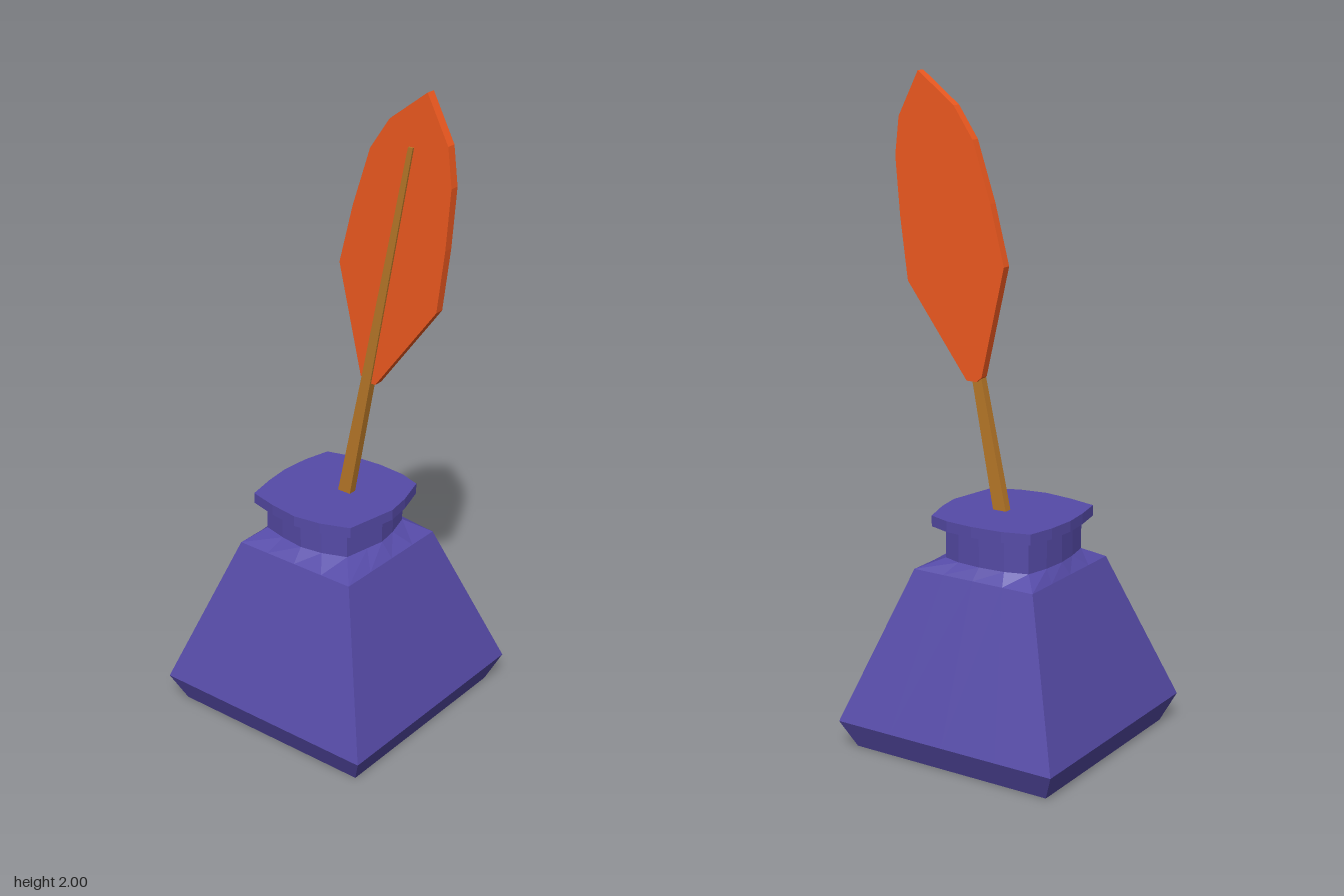
import * as THREE from 'three';

const flat = (color) => new THREE.MeshStandardMaterial({ color, flatShading: true });

// Closed loft through rings of [x, y, z], listed bottom to top, clockwise from above
function loft(rings) {
  const pos = [];
  const n = rings[0].length;
  const tri = (a, b, c) => pos.push(...a, ...b, ...c);
  for (let r = 0; r < rings.length - 1; r++) {
    const lo = rings[r], hi = rings[r + 1];
    for (let i = 0; i < n; i++) {
      const j = (i + 1) % n;
      tri(lo[i], hi[i], lo[j]);
      tri(lo[j], hi[i], hi[j]);
    }
  }
  const bottom = rings[0], top = rings[rings.length - 1];
  for (let i = 1; i < n - 1; i++) {
    tri(bottom[0], bottom[i], bottom[i + 1]);
    tri(top[0], top[i + 1], top[i]);
  }
  const g = new THREE.BufferGeometry();
  g.setAttribute('position', new THREE.Float32BufferAttribute(pos, 3));
  g.computeVertexNormals();
  return g;
}

// Hand-cut bulging square used by the lip and neck (x, z)
const bulge = [
  [-0.175, -0.185], [-0.085, -0.203], [0, -0.212], [0.09, -0.205],
  [0.175, -0.185], [0.2, -0.1], [0.207, 0], [0.2, 0.09],
  [0.177, 0.16], [0.08, 0.19], [0, 0.203], [-0.07, 0.19],
  [-0.163, 0.173], [-0.197, 0.085], [-0.21, 0], [-0.197, -0.095],
];
const bulgeRing = (y, s, dx = 0, dz = 0) => bulge.map(([x, z]) => [x * s + dx, y, z * s + dz]);

// Square ring with the same number of points as the bulging one
function squareRing(y, h) {
  const c = [[-h, -h], [h, -h], [h, h], [-h, h]];
  return bulge.map((_, i) => {
    const a = c[Math.floor(i / 4)], b = c[(Math.floor(i / 4) + 1) % 4], t = (i % 4) / 4;
    return [a[0] + (b[0] - a[0]) * t, y, a[1] + (b[1] - a[1]) * t - 0.005];
  });
}

// Rectangle ring of the quill shaft
const shaftRing = (y, z, w, x0, x1) => [
  [x0, y, z - w], [x1, y, z - w], [x1, y, z + w], [x0, y, z + w],
];

export function createModel() {
  const group = new THREE.Group();
  const add = (name, geometry, material) => {
    const m = new THREE.Mesh(geometry, material);
    m.name = name;
    group.add(m);
    return m;
  };
  const glass = flat(0x564ba8);

  // Bottle: bevelled foot, sloping sides, shoulder and neck
  add('bottle', loft([
    squareRing(0, 0.335),
    squareRing(0.085, 0.374),
    squareRing(0.55, 0.208),
    bulgeRing(0.587, 0.84, 0.01, -0.012),
    bulgeRing(0.69, 0.84, 0.01, -0.012),
  ]), glass);

  // Flat lip closing the neck
  add('lip', loft([bulgeRing(0.682, 1), bulgeRing(0.715, 1)]), glass);

  // Tapered shaft leaning forward, running up one side of the vane
  add('quillShaft', loft([
    shaftRing(0.68, 0.013, 0.023, 0, 0.026),
    shaftRing(1.1, 0.098, 0.017, 0, 0.026),
    shaftRing(1.84, 0.246, 0.008, 0, 0.02),
  ]), flat(0xb87828));

  // Feather vane: outline in (-z, y), extruded then turned to face sideways
  const outline = [
    [0.295, 2], [0.17, 1.905], [0.105, 1.81], [0.045, 1.63], [-0.002, 1.45],
    [0.077, 1.115], [0.095, 1.1], [0.13, 1.1], [0.34, 1.38],
    [0.365, 1.57], [0.38, 1.75], [0.366, 1.865],
  ];
  const shape = new THREE.Shape(outline.map(([z, y]) => new THREE.Vector2(-z, y)));
  const vane = new THREE.ExtrudeGeometry(shape, { depth: 0.028, bevelEnabled: false });
  vane.rotateY(Math.PI / 2);
  vane.translate(0.006, 0, 0);
  add('featherVane', vane, flat(0xf05a20));

  return group;
}
